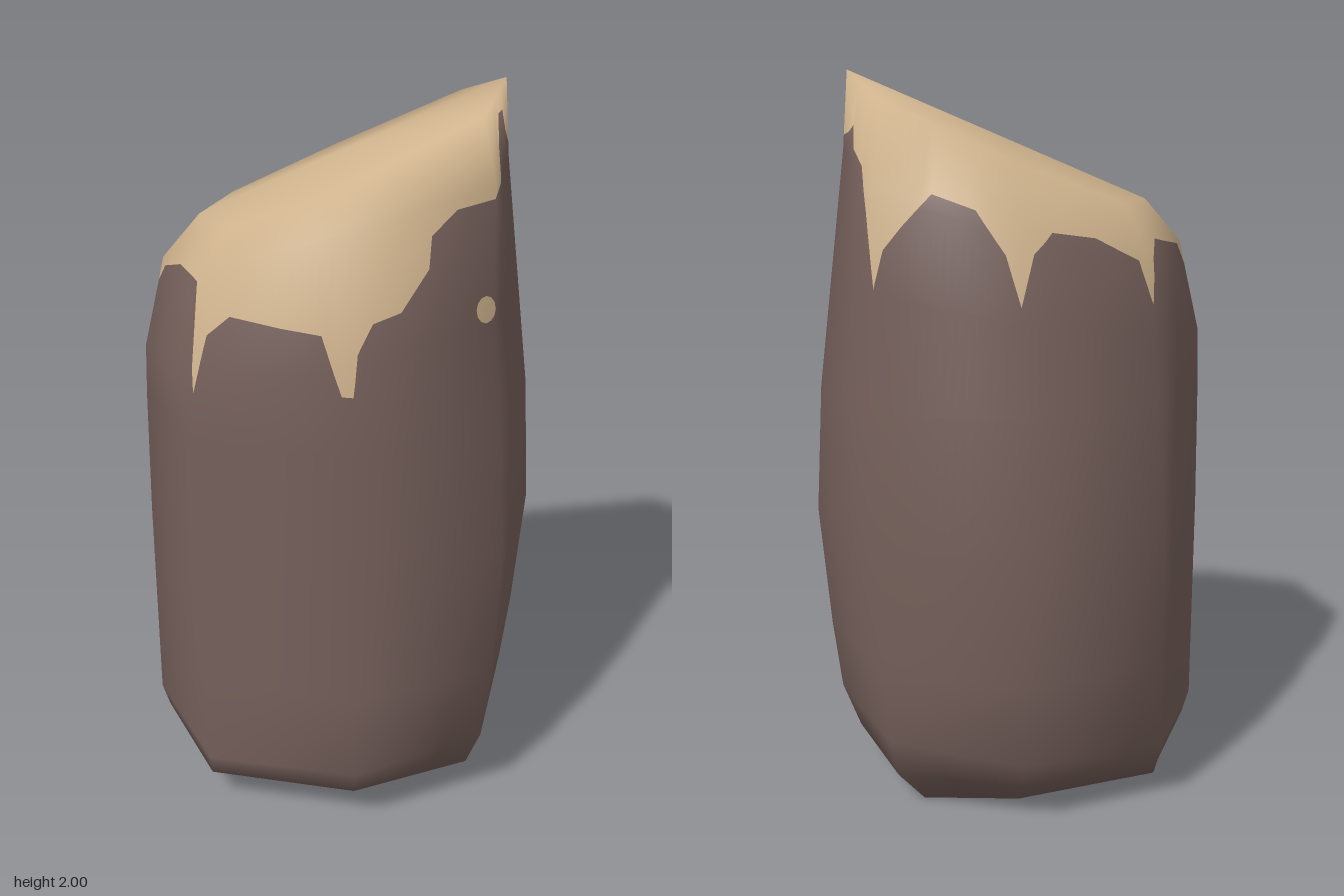
import * as THREE from 'three';

// Cross-section rings from foot to rim:
// [right, left, front, back, height, x slope, z slope, drop towards front and back,
//  corner factors: front left, front right, back right, back left of the model]
const RINGS = [
  [0.32, 0.48, 0.31, 0.33, 0.027, -0.07, 0.045, 0, 0.82, 0.82, 0.82, 0.82],
  [0.44, 0.53, 0.47, 0.43, 0.10, 0, 0, 0, 0.76, 0.75, 0.74, 0.76],
  [0.49, 0.55, 0.53, 0.50, 0.20, 0.06, 0, 0, 0.75, 0.73, 0.72, 0.73],
  [0.515, 0.55, 0.515, 0.525, 0.43, 0, 0, 0, 0.76, 0.73, 0.71, 0.72],
  [0.545, 0.55, 0.49, 0.50, 0.78, 0, 0, 0, 0.75, 0.74, 0.71, 0.72],
  [0.525, 0.545, 0.465, 0.455, 1.14, 0, 0, 0, 0.75, 0.74, 0.69, 0.74],
  [0.485, 0.54, 0.45, 0.39, 1.38, 0.18, 0, 0, 0.75, 0.76, 0.68, 0.77],
  [0.445, 0.48, 0.365, 0.345, 1.67, 0.28, 0.155, 0.075, 0.81, 0.79, 0.74, 0.84],
  [0.43, 0.38, 0.27, 0.24, 1.815, 0.43, 0.05, 0.12, 0.79, 0.79, 0.76, 0.8],
];

// Dripping lower edge of the cap: [column 0..8 (0 = +x, 2 = +z, 4 = -x, 6 = -z), height]
const DRIPS = [
  [0, 1.83], [0.16, 1.87], [0.27, 1.93], [0.45, 1.93], [0.58, 1.85], [0.65, 1.77],
  [1, 1.76], [1.27, 1.74], [1.45, 1.68], [1.47, 1.6], [1.67, 1.5], [1.87, 1.48],
  [1.98, 1.41], [2.01, 1.3], [2.08, 1.3], [2.2, 1.45], [2.45, 1.46], [2.78, 1.48],
  [2.92, 1.43], [2.99, 1.28], [3.03, 1.56], [3.5, 1.56], [3.9, 1.52], [4, 1.47],
  [4.1, 1.53], [4.6, 1.56], [4.9, 1.52], [5, 1.4], [5.1, 1.52], [5.4, 1.58],
  [5.75, 1.6], [5.9, 1.55], [6, 1.42], [6.1, 1.55], [6.3, 1.66], [6.6, 1.7],
  [6.8, 1.62], [6.93, 1.56], [7, 1.46], [7.08, 1.56], [7.17, 1.65], [7.33, 1.76],
  [7.65, 1.8], [7.7, 1.86], [7.84, 1.84], [8, 1.83],
];

const LAST = RINGS.length + 1; // ring index of the top centre

// Eight-sided cage with smooth normals
function buildCage() {
  const pos = [0, 0.03, 0];
  for (const [right, left, front, back, y, sx, sz, drop, ...corners] of RINGS) {
    for (let k = 0; k < 8; k++) {
      const cx = Math.round(Math.cos(k * Math.PI / 4)), cz = Math.round(Math.sin(k * Math.PI / 4));
      const f = k % 2 ? corners[(k - 1) / 2] : 1;
      const x = cx * f * (cx > 0 ? right : left), z = cz * f * (cz > 0 ? front : back);
      pos.push(x, y + sx * x + sz * z - drop * Math.abs(z), z);
    }
  }
  pos.push(0, 1.815, 0);
  const id = (i, k) => (i === 0 ? 0 : i === LAST ? pos.length / 3 - 1 : 1 + (i - 1) * 8 + (k % 8));
  const index = [];
  for (let i = 0; i < LAST; i++) {
    for (let k = 0; k < 8; k++) {
      const a = id(i, k), b = id(i, k + 1), c = id(i + 1, k), d = id(i + 1, k + 1);
      if (a !== b) index.push(a, c, b);
      if (c !== d) index.push(b, c, d);
    }
  }
  const g = new THREE.BufferGeometry();
  g.setAttribute('position', new THREE.Float32BufferAttribute(pos, 3));
  g.setIndex(index);
  g.computeVertexNormals();
  return (i, k) => ({
    p: new THREE.Vector3().fromBufferAttribute(g.attributes.position, id(i, k)),
    n: new THREE.Vector3().fromBufferAttribute(g.attributes.normal, id(i, k)),
  });
}

const mix = (a, b, t) => ({ p: a.p.clone().lerp(b.p, t), n: a.n.clone().lerp(b.n, t).normalize() });

// Vertical line of surface points at column u
function profile(cage, u) {
  const k = Math.min(7, Math.floor(u));
  return Array.from({ length: LAST + 1 }, (_, i) => mix(cage(i, k), cage(i, k + 1), u - k));
}

// Point of a profile at a given height, and the ring just above it
function cut(line, y) {
  let i = 1;
  while (i < LAST - 1 && line[i].p.y < y) i++;
  const lo = line[i - 1], hi = line[i];
  return { ring: i, point: mix(lo, hi, THREE.MathUtils.clamp((y - lo.p.y) / (hi.p.y - lo.p.y), 0, 1)) };
}

function dripHeight(u) {
  const j = Math.max(1, DRIPS.findIndex((d) => d[0] >= u));
  const [u0, y0] = DRIPS[j - 1], [u1, y1] = DRIPS[j];
  return y0 + (y1 - y0) * (u - u0) / (u1 - u0);
}

// Skin between neighbouring vertical lines of points
function skin(lines) {
  const pos = [], nor = [];
  const tri = (...v) => {
    const [a, b, c] = v.map((q) => q.p);
    if (a.distanceTo(b) < 1e-6 || b.distanceTo(c) < 1e-6 || c.distanceTo(a) < 1e-6) return;
    for (const q of v) { pos.push(...q.p.toArray()); nor.push(...q.n.toArray()); }
  };
  for (let j = 0; j + 1 < lines.length; j++) {
    const l = lines[j], r = lines[j + 1];
    for (let i = 0; i + 1 < l.length; i++) {
      tri(l[i], l[i + 1], r[i]);
      tri(r[i], l[i + 1], r[i + 1]);
    }
  }
  const g = new THREE.BufferGeometry();
  g.setAttribute('position', new THREE.Float32BufferAttribute(pos, 3));
  g.setAttribute('normal', new THREE.Float32BufferAttribute(nor, 3));
  return g;
}

export function createModel() {
  const group = new THREE.Group();
  group.name = 'rock';
  const stone = new THREE.MeshStandardMaterial({ name: 'brown stone', color: 0x735e59 });
  const sand = new THREE.MeshStandardMaterial({ name: 'sand', color: 0xcfb38d });
  const add = (name, geometry, material) => {
    const mesh = new THREE.Mesh(geometry, material);
    mesh.name = name;
    group.add(mesh);
  };

  // Split every vertical line at the drip edge
  const cage = buildCage();
  const columns = new Set(DRIPS.map((d) => d[0]));
  for (let k = 0; k <= 128; k++) columns.add(k / 16);
  const lower = [], upper = [];
  for (const u of [...columns].sort((a, b) => a - b)) {
    const line = profile(cage, u);
    const { ring, point } = cut(line, dripHeight(u));
    lower.push(line.map((q, i) => (i < ring ? q : point)));
    upper.push(line.map((q, i) => (i < ring ? point : q)));
  }
  add('rockBody', skin(lower), stone);
  add('sandCap', skin(upper), sand);

  // Small splash of sand below the cap, on the front corner
  const spot = (u, y) => {
    const { point } = cut(profile(cage, u), y);
    return { p: point.p.addScaledVector(point.n, 0.005), n: point.n };
  };
  const splash = Array.from({ length: 13 }, (_, i) => {
    const a = -i / 12 * Math.PI * 2;
    return [spot(1.07, 1.485), spot(1.07 + 0.07 * Math.cos(a), 1.485 + 0.035 * Math.sin(a))];
  });
  add('sandSplash', skin(splash), sand);
  return group;
}
